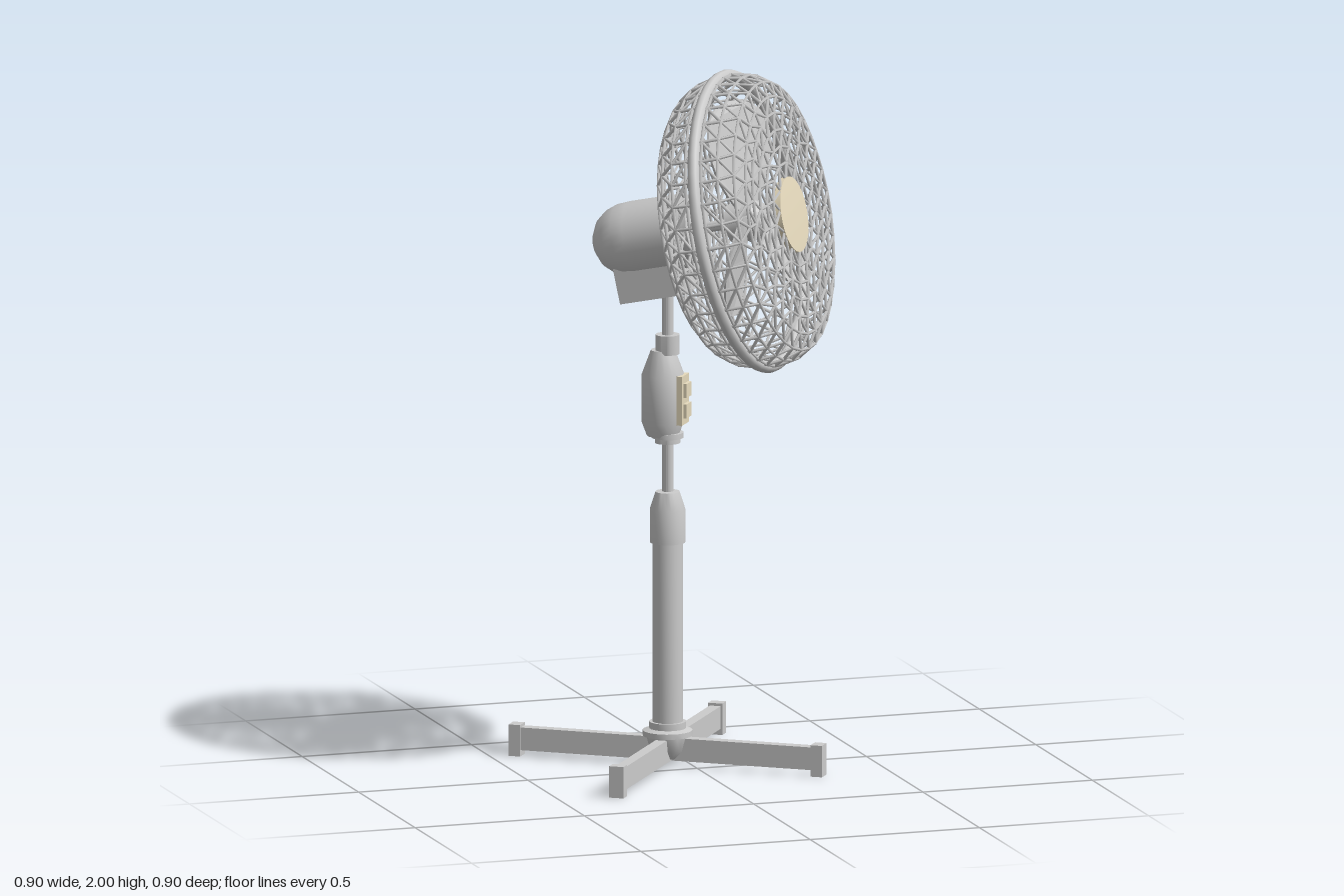
import * as THREE from 'three';
import { mergeGeometries, toCreasedNormals } from 'three/addons/utils/BufferGeometryUtils.js';

const grey = new THREE.MeshStandardMaterial({ color: 0xcccccc });
const greyThin = new THREE.MeshStandardMaterial({ color: 0xcccccc, side: THREE.DoubleSide });
const cream = new THREE.MeshStandardMaterial({ color: 0xe6dabd });

const YAW = THREE.MathUtils.degToRad(53.4);
const PITCH = THREE.MathUtils.degToRad(12);

function add(parent, name, geometry, material = grey, x = 0, y = 0, z = 0) {
  const mesh = new THREE.Mesh(geometry, material);
  mesh.name = name;
  mesh.position.set(x, y, z);
  parent.add(mesh);
  return mesh;
}

// Solid of revolution about y from [radius, height] pairs, bottom to top
function turned(points, sides = 24) {
  const profile = points.map(([r, h]) => new THREE.Vector2(r, h));
  return toCreasedNormals(new THREE.LatheGeometry(profile, sides), 0.6);
}

// The same, with the axis turned to point along +z
const turnedZ = (points, sides) => turned(points, sides).rotateX(Math.PI / 2);

// Thin triangular rod between two points
function strut(a, b, radius = 0.0045) {
  const dir = b.clone().sub(a);
  const rod = new THREE.CylinderGeometry(radius, radius, dir.length(), 4, 1, true);
  rod.applyQuaternion(new THREE.Quaternion().setFromUnitVectors(new THREE.Vector3(0, 1, 0), dir.normalize()));
  const mid = a.clone().add(b).multiplyScalar(0.5);
  return rod.translate(mid.x, mid.y, mid.z);
}

// Triangulated lattice over a domed drum: rings of points stitched by zigzags
function cageGeometry() {
  const profile = [[0.1, -0.16], [0.24, -0.157], [0.35, -0.13], [0.4, -0.07], [0.413, 0],
    [0.405, 0.065], [0.37, 0.115], [0.25, 0.13], [0.1, 0.135]];
  const curve = new THREE.CatmullRomCurve3(profile.map(([r, z]) => new THREE.Vector3(r, 0, z)));
  const rings = curve.getSpacedPoints(17).map(({ x: r, z }, i) => {
    const count = Math.round((2 * Math.PI * r) / 0.064);
    return Array.from({ length: count }, (_, k) => {
      const angle = ((k + (i % 2) * 0.5) / count) * 2 * Math.PI;
      return new THREE.Vector3(r * Math.cos(angle), r * Math.sin(angle), z);
    });
  });
  const rods = [];
  rings.forEach((ring, i) => {
    ring.forEach((p, k) => rods.push(strut(p, ring[(k + 1) % ring.length])));
    const next = rings[i + 1];
    if (!next) return;
    let a = 0, b = 0;
    while (a < ring.length || b < next.length) {
      rods.push(strut(ring[a % ring.length], next[b % next.length]));
      const stepA = (a + 1 + (i % 2) * 0.5) / ring.length;
      const stepB = (b + 1 + ((i + 1) % 2) * 0.5) / next.length;
      if (b >= next.length || (a < ring.length && stepA < stepB)) a++;
      else b++;
    }
  });
  return mergeGeometries(rods);
}

// Rounded paddle, pitched and slightly cupped
function bladeGeometry() {
  const shape = new THREE.Shape();
  shape.moveTo(-0.035, 0.03);
  shape.bezierCurveTo(-0.1, 0.1, -0.19, 0.2, -0.11, 0.3);
  shape.bezierCurveTo(-0.06, 0.355, 0.06, 0.355, 0.11, 0.3);
  shape.bezierCurveTo(0.17, 0.22, 0.09, 0.1, 0.035, 0.03);
  const geometry = new THREE.ExtrudeGeometry(shape, { depth: 0.006, bevelEnabled: false, curveSegments: 10 });
  const pos = geometry.attributes.position;
  for (let i = 0; i < pos.count; i++) {
    const x = pos.getX(i);
    pos.setZ(i, pos.getZ(i) + 0.33 * x + 0.8 * x * x);
  }
  geometry.computeVertexNormals();
  return geometry;
}

function createHead() {
  const head = new THREE.Group();
  head.name = 'fanHead';
  head.position.set(0.125, 1.575, 0.075);
  head.rotation.set(-PITCH, YAW, 0, 'YXZ');

  // Guard
  add(head, 'guardLattice', cageGeometry(), greyThin);
  add(head, 'guardRim', new THREE.TorusGeometry(0.413, 0.017, 10, 48));
  add(head, 'frontBadge', turnedZ([[0, 0.122], [0.107, 0.122], [0.107, 0.14], [0, 0.144]], 32), cream);

  // Blades on their hub
  const rotor = new THREE.Group();
  rotor.name = 'rotor';
  head.add(rotor);
  const blade = bladeGeometry();
  for (let i = 0; i < 3; i++) {
    add(rotor, 'blade', blade, greyThin).rotation.z = THREE.MathUtils.degToRad(-5 + i * 120);
  }
  add(rotor, 'hub', turnedZ([[0, -0.05], [0.055, -0.05], [0.055, 0.03], [0.04, 0.05], [0, 0.055]]));
  add(rotor, 'shaft', turnedZ([[0, -0.17], [0.015, -0.17], [0.015, -0.04], [0, -0.04]], 12));

  // Motor housing with a domed back, and the neck joining it to the guard
  add(head, 'motorHousing', turnedZ([[0, -0.46], [0.035, -0.455], [0.068, -0.436], [0.09, -0.408],
    [0.102, -0.375], [0.105, -0.34], [0.105, -0.19], [0, -0.19]], 32));
  add(head, 'motorNeck', turnedZ([[0, -0.2], [0.085, -0.2], [0.085, -0.17], [0.1, -0.165], [0.1, -0.15], [0, -0.15]]));
  add(head, 'tiltBracket', new THREE.BoxGeometry(0.13, 0.15, 0.2), grey, 0, -0.095, -0.3);
  return head;
}

function createStand() {
  const stand = new THREE.Group();
  stand.name = 'stand';
  stand.position.set(-0.065, 0, -0.067);
  stand.rotation.y = YAW;

  // Four crossed feet with end caps
  for (let i = 0; i < 4; i++) {
    const leg = new THREE.Group();
    leg.name = 'leg';
    leg.rotation.y = (i * Math.PI) / 2;
    add(leg, 'legBar', new THREE.BoxGeometry(0.032, 0.065, 0.44), grey, 0, 0.05, 0.22);
    add(leg, 'legCap', new THREE.BoxGeometry(0.042, 0.09, 0.034), grey, 0, 0.045, 0.445);
    stand.add(leg);
  }

  // Base hub and telescopic pole
  add(stand, 'baseHub', turned([[0, 0.02], [0.03, 0.022], [0.05, 0.045], [0.06, 0.085], [0.07, 0.087],
    [0.07, 0.102], [0.052, 0.108], [0.052, 0.127], [0, 0.127]]));
  add(stand, 'lowerPole', turned([[0, 0.1], [0.043, 0.1], [0.043, 0.66], [0, 0.66]]));
  add(stand, 'heightCollar', turned([[0, 0.64], [0.05, 0.64], [0.05, 0.735], [0.034, 0.785], [0, 0.787]]));
  add(stand, 'upperPole', turned([[0, 0.77], [0.016, 0.77], [0.016, 1.42], [0, 1.42]], 16));

  // Control housing, set slightly back from the pole
  add(stand, 'lowerControlCollar', turned([[0, 0.925], [0.036, 0.925], [0.036, 0.94], [0.045, 0.94], [0.045, 0.955], [0, 0.955]]));
  add(stand, 'controlHousing', turned([[0, 0.945], [0.045, 0.945], [0.06, 0.985], [0.06, 1.12],
    [0.034, 1.19], [0, 1.19]], 16), grey, 0, 0, -0.014);
  add(stand, 'upperControlCollar', turned([[0, 1.18], [0.034, 1.18], [0.034, 1.235], [0, 1.235]]));

  // Switch panel
  add(stand, 'switchPanel', new THREE.BoxGeometry(0.062, 0.14, 0.026), cream, 0, 1.052, 0.04);
  for (const y of [1.022, 1.08]) {
    add(stand, 'switchButton', new THREE.BoxGeometry(0.042, 0.04, 0.014), cream, 0, y, 0.056);
  }
  return stand;
}

export function createModel() {
  const model = new THREE.Group();
  model.name = 'pedestalFan';
  model.add(createStand(), createHead());
  return model;
}
